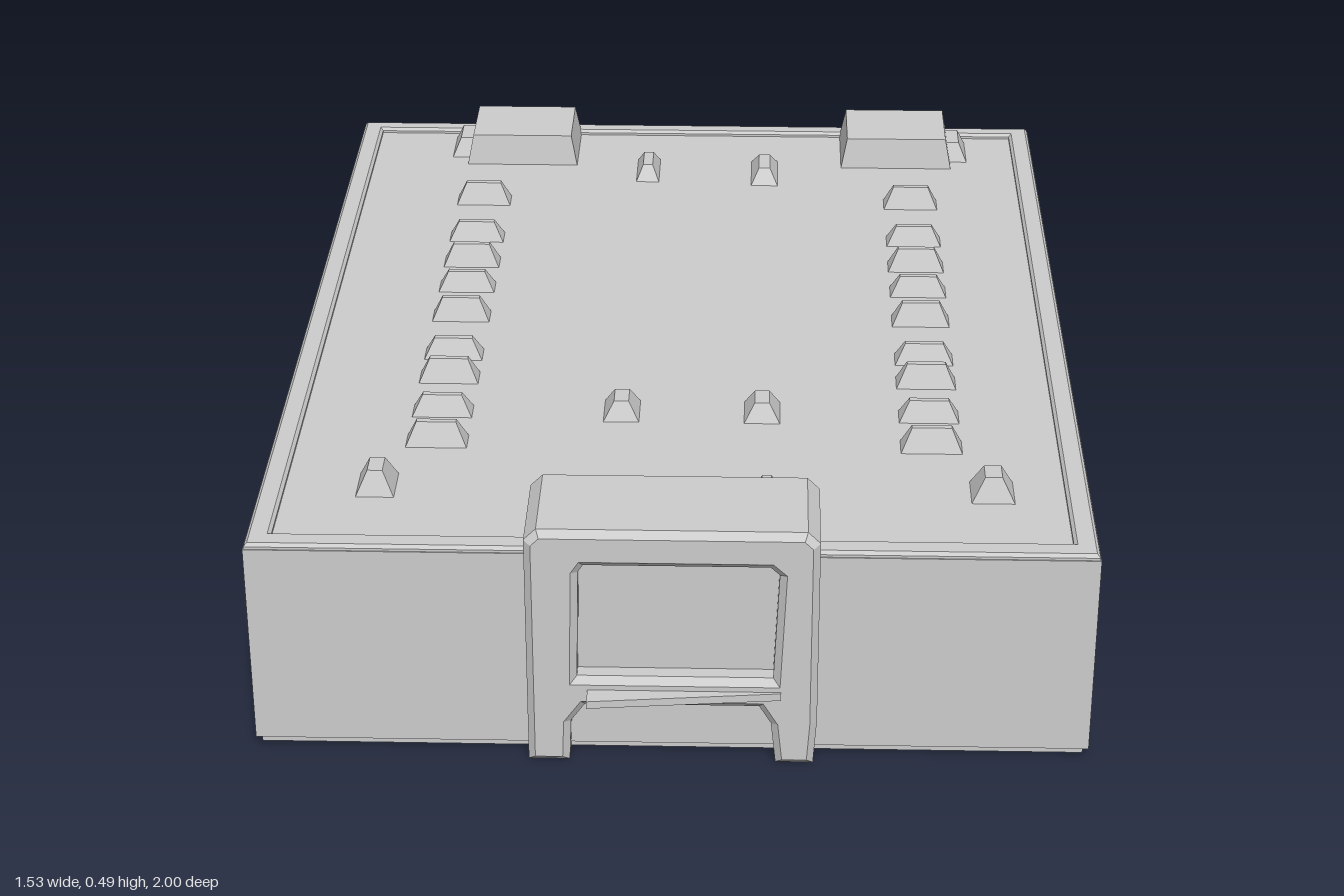
import * as THREE from 'three';

const material = new THREE.MeshStandardMaterial({ color: 0xcccccc, flatShading: true });

function add(parent, name, geometry) {
  const mesh = new THREE.Mesh(geometry, material);
  mesh.name = name;
  parent.add(mesh);
  return mesh;
}

// Box between two heights whose top is narrowed by the factors tx and tz
function frustum(w, d, y0, y1, tx, tz) {
  const g = new THREE.BoxGeometry(w, y1 - y0, d).translate(0, (y0 + y1) / 2, 0);
  const p = g.attributes.position;
  for (let i = 0; i < p.count; i++) {
    if (p.getY(i) > (y0 + y1) / 2) p.setXYZ(i, p.getX(i) * tx, p.getY(i), p.getZ(i) * tz);
  }
  g.computeVertexNormals();
  return g;
}

function polygon(points, Type = THREE.Shape) {
  return new Type(points.map(([x, y]) => new THREE.Vector2(x, y)));
}

function rectangle(x0, y0, x1, y1, Type) {
  return polygon([[x0, y0], [x1, y0], [x1, y1], [x0, y1]], Type);
}

function buildCase(group) {
  add(group, 'caseBody', new THREE.BoxGeometry(1.53, 0.4, 1.92).translate(0, 0.22, -0.04));
  // Slightly inset base
  add(group, 'caseBase', new THREE.BoxGeometry(1.51, 0.03, 1.9).translate(0, 0.02, -0.04));

  // Low raised lip around the lid
  const lip = rectangle(-0.757, -0.912, 0.757, 0.992);
  lip.holes.push(rectangle(-0.725, -0.88, 0.725, 0.965, THREE.Path));
  const g = new THREE.ExtrudeGeometry(lip, {
    depth: 0.018, bevelEnabled: true, bevelThickness: 0.006, bevelSize: 0.006, bevelSegments: 1,
  });
  add(group, 'lidLip', g.rotateX(-Math.PI / 2).translate(0, 0.407, 0));
}

function buildConnector(group) {
  const connector = new THREE.Group();
  connector.name = 'frontConnector';
  group.add(connector);

  // Housing with a socket opening and an arched gap between two feet
  const outline = polygon([
    [-0.25, 0.014], [-0.2, 0.014], [-0.197, 0.09], [-0.165, 0.135], [0.165, 0.135], [0.192, 0.09],
    [0.2, 0.014], [0.245, 0.014], [0.25, 0.09], [0.25, 0.46], [0.235, 0.475], [-0.235, 0.475], [-0.25, 0.46],
  ]);
  outline.holes.push(polygon([
    [-0.185, 0.17], [0.195, 0.17], [0.205, 0.405], [0.18, 0.428], [-0.165, 0.428], [-0.18, 0.405],
  ], THREE.Path));
  const g = new THREE.ExtrudeGeometry(outline, {
    depth: 0.195, bevelEnabled: true, bevelThickness: 0.013, bevelSize: 0.013, bevelSegments: 1,
  });
  add(connector, 'connectorHousing', g.translate(0.003, 0, 0.753));

  // Thin tongue sticking out below the socket
  const tongue = polygon([[-0.15, 0.94], [0.2, 0.94], [0.2, 0.965], [-0.15, 1]]);
  const t = new THREE.ExtrudeGeometry(tongue, { depth: 0.015, bevelEnabled: false });
  add(connector, 'connectorTongue', t.rotateX(Math.PI / 2).translate(0, 0.16, 0));
}

function buildBumps(group) {
  const top = 0.465;
  // Two rows of ridged pins along the lid
  const rows = [-0.59, -0.4, -0.275, -0.155, -0.02, 0.15, 0.25, 0.39, 0.51];
  for (const x of [-0.455, 0.48]) {
    rows.forEach((z, i) => {
      const g = frustum(0.125, 0.06, 0.41, top - 0.006 * (i % 2), 0.6, 0.2);
      add(group, 'ridgePin', g).position.set(x, 0, z);
    });
  }
  // Single studs: x, z, width, depth, top
  const studs = [
    [-0.55, 0.68, 0.08, 0.1, 0.465], [0.585, 0.68, 0.09, 0.09, 0.465],
    [-0.11, 0.38, 0.08, 0.1, 0.455], [0.16, 0.38, 0.08, 0.1, 0.455],
    [-0.1, -0.76, 0.06, 0.14, 0.45], [0.16, -0.75, 0.07, 0.15, 0.45],
    [0.17, 0.69, 0.05, 0.05, 0.45],
  ];
  for (const [x, z, w, d, y] of studs) {
    add(group, 'stud', frustum(w, d, 0.41, y, 0.35, 0.5)).position.set(x, 0, z);
  }
}

function buildRearBlocks(group) {
  for (const [x, side] of [[-0.385, -1], [0.455, 1]]) {
    const block = new THREE.Group();
    block.name = 'rearBlock';
    block.position.set(x, 0, -0.88);
    group.add(block);
    add(block, 'blockTop', frustum(0.25, 0.19, 0.41, 0.487, 0.88, 0.88));
    // Small sloped shoulder on the outer side
    add(block, 'blockShoulder', frustum(0.09, 0.12, 0.41, 0.46, 0.5, 0.6)).position.x = side * 0.12;
  }
}

export function createModel() {
  const group = new THREE.Group();
  group.name = 'deviceCase';
  buildCase(group);
  buildConnector(group);
  buildBumps(group);
  buildRearBlocks(group);
  return group;
}
